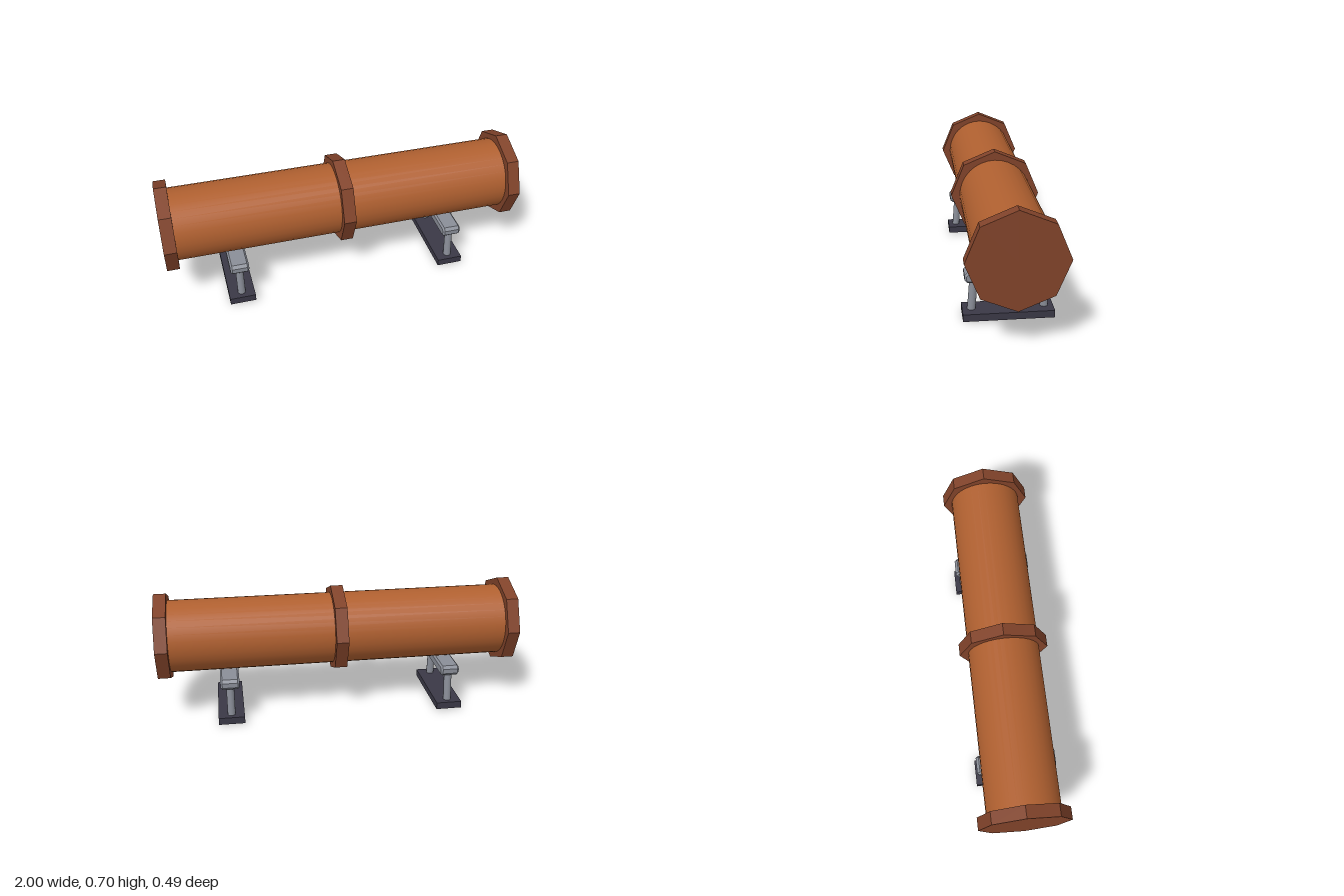
import * as THREE from 'three';

const mat = (name, color, flatShading = false) => {
  const m = new THREE.MeshStandardMaterial({ color, flatShading });
  m.name = name;
  return m;
};

// Box with every edge chamfered by c: a clipped rectangle extruded along x with a bevel
function chamferedBox(w, h, d, c) {
  const a = d / 2 - c, b = h / 2 - c;
  const s = new THREE.Shape([
    [a, -b + c], [a, b - c], [a - c, b], [-a + c, b],
    [-a, b - c], [-a, -b + c], [-a + c, -b], [a - c, -b],
  ].map(([x, y]) => new THREE.Vector2(x, y)));
  const g = new THREE.ExtrudeGeometry(s, {
    depth: w - 2 * c, bevelEnabled: true, bevelThickness: c, bevelSize: c, bevelSegments: 1,
  });
  return g.translate(0, 0, -w / 2 + c).rotateY(Math.PI / 2);
}

export function createModel() {
  const model = new THREE.Group();
  model.name = 'pipeOnStands';

  const copper = mat('copper', 0xb06030);
  const darkCopper = mat('darkCopper', 0x81432a, true);
  const steel = mat('steel', 0x8a8e98);
  const flatSteel = steel; // bevelled beam has its own flat normals
  const darkMetal = mat('darkMetal', 0x3a3846, true);

  const add = (parent, name, geometry, material, x = 0, y = 0, z = 0) => {
    const mesh = new THREE.Mesh(geometry, material);
    mesh.name = name;
    mesh.position.set(x, y, z);
    parent.add(mesh);
    return mesh;
  };

  // Pipe
  const axisY = 0.458;
  const pipe = new THREE.CylinderGeometry(0.199, 0.199, 1.94, 32).rotateZ(Math.PI / 2);
  add(model, 'pipe', pipe, copper, 0, axisY);

  // Octagonal flanges, one corner pointing up
  const flange = new THREE.CylinderGeometry(0.247, 0.247, 0.068, 8).rotateZ(Math.PI / 2);
  [['rightFlange', -0.966], ['middleFlange', 0], ['leftFlange', 0.966]]
    .forEach(([name, x]) => add(model, name, flange, darkCopper, x, axisY));

  // Two stands: foot plate, two splayed legs, bevelled cross beam
  const foot = new THREE.BoxGeometry(0.144, 0.039, 0.468);
  const beam = chamferedBox(0.104, 0.058, 0.444, 0.01);
  const leg = new THREE.CylinderGeometry(0.0215, 0.0215, 0.23, 16);
  for (const side of [-1, 1]) {
    const stand = new THREE.Group();
    stand.name = side < 0 ? 'rightStand' : 'leftStand';
    stand.position.x = side * 0.618;
    model.add(stand);
    add(stand, 'footPlate', foot, darkMetal, 0, 0.0275);
    add(stand, 'crossBeam', beam, flatSteel, 0, 0.236);
    for (const s of [-1, 1]) {
      add(stand, s < 0 ? 'backLeg' : 'frontLeg', leg, steel, 0, 0.117, s * 0.181).rotation.x = -s * 0.078;
    }
  }
  return model;
}
